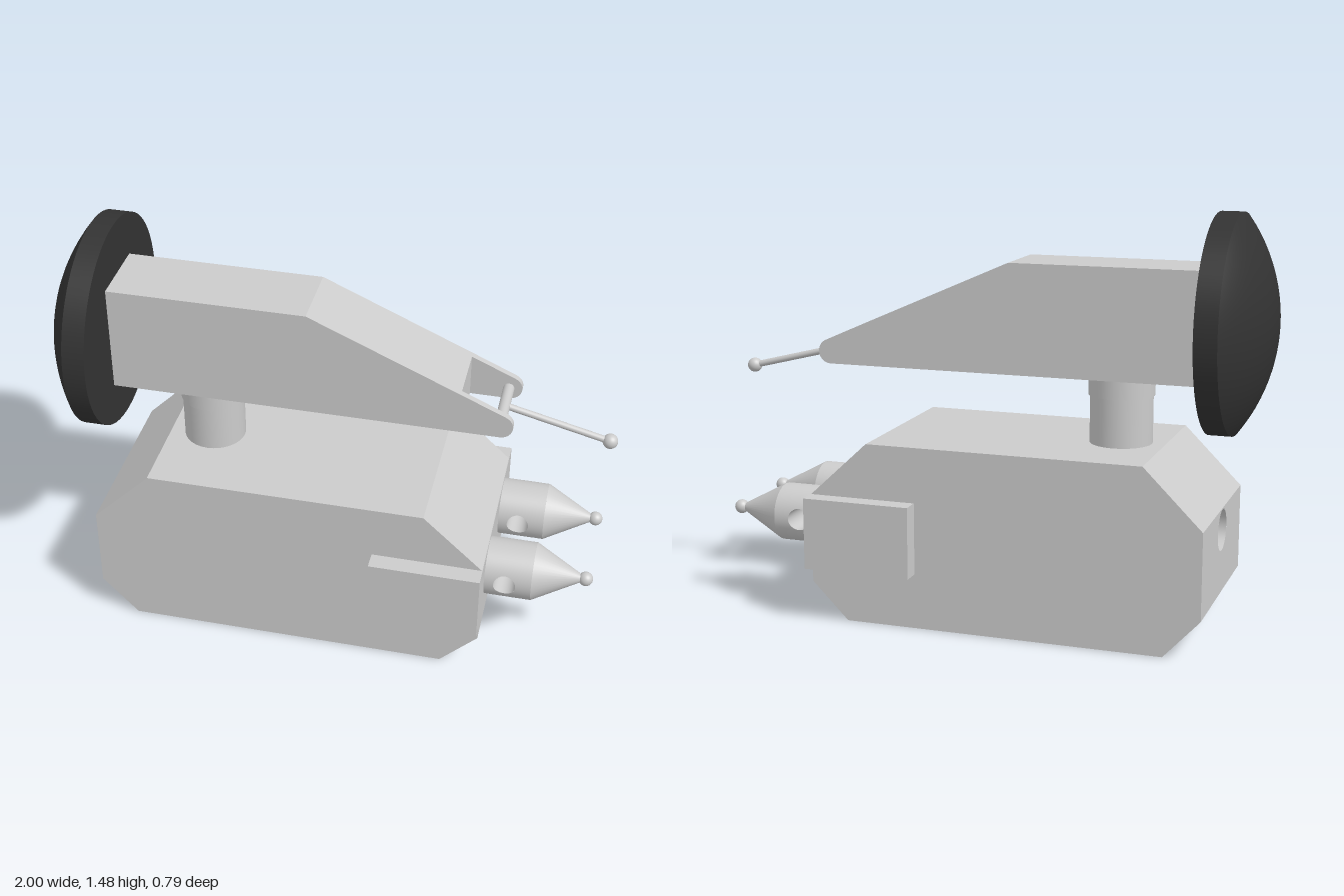
import * as THREE from 'three';
import { mergeGeometries } from 'three/addons/utils/BufferGeometryUtils.js';
import { ParametricGeometry } from 'three/addons/geometries/ParametricGeometry.js';

const V2 = (x, y) => new THREE.Vector2(x, y);

export function createModel() {
  const model = new THREE.Group();
  const grey = new THREE.MeshStandardMaterial({ color: 0xcccccc });
  const greyDouble = new THREE.MeshStandardMaterial({ color: 0xcccccc, side: THREE.DoubleSide });
  const dark = new THREE.MeshStandardMaterial({ color: 0x333333 });

  function add(name, geometry, material = grey, parent = model) {
    const mesh = new THREE.Mesh(geometry, material);
    mesh.name = name;
    parent.add(mesh);
    return mesh;
  }

  // Body: chamfered profile, one panel per edge so two panels can carry holes
  const half = 0.33;
  const profile = [
    [-0.70, 0], [0.46, 0], [0.595, 0.135], [0.595, 0.46],
    [0.38, 0.66], [-0.62, 0.66], [-0.83, 0.45], [-0.83, 0.14],
  ].map(([x, y]) => V2(x, y));
  const socket = { x: -0.83, y: 0.37, r: 0.075, depth: 0.3 };
  const pivotHole = { x: -0.46, y: 0, r: 0.033, depth: 0.2 };
  const holes = { 0: pivotHole, 6: socket };

  function panel(a, b, hole) {
    const e = b.clone().sub(a);
    const len = e.length();
    e.normalize();
    const shape = new THREE.Shape([V2(0, -half), V2(len, -half), V2(len, half), V2(0, half)]);
    if (hole) {
      const d = V2(hole.x, hole.y).distanceTo(a);
      shape.holes.push(new THREE.Path().absarc(d, 0, hole.r, 0, Math.PI * 2, true));
    }
    const frame = new THREE.Matrix4().makeBasis(
      new THREE.Vector3(e.x, e.y, 0), new THREE.Vector3(0, 0, 1), new THREE.Vector3(e.y, -e.x, 0));
    frame.setPosition(a.x, a.y, 0);
    return new THREE.ShapeGeometry(shape, 24).applyMatrix4(frame);
  }
  const bodyParts = profile.map((p, i) => panel(p, profile[(i + 1) % profile.length], holes[i === 6 ? 6 : i]));
  const cheek = new THREE.ShapeGeometry(new THREE.Shape(profile));
  bodyParts.push(cheek.clone().translate(0, 0, half), cheek.clone().rotateY(Math.PI).scale(1, 1, 1));
  // The rear cheek is turned about, so mirror its outline back into place
  bodyParts.pop();
  const mirrored = new THREE.Shape(profile.map((p) => V2(-p.x, p.y)));
  bodyParts.push(new THREE.ShapeGeometry(mirrored).rotateY(Math.PI).translate(0, 0, -half));
  add('body', mergeGeometries(bodyParts), grey);

  // Blind hole linings
  const lining = (h) => new THREE.LatheGeometry([V2(h.r, 0), V2(h.r, h.depth), V2(h.r, h.depth), V2(0, h.depth)], 32);
  add('rearSocket', lining(socket).rotateZ(-Math.PI / 2), greyDouble).position.set(socket.x, socket.y, 0);
  add('bottomHole', lining(pivotHole), greyDouble).position.set(pivotHole.x, pivotHole.y, 0);

  // Block that crosses the body and stands out on both sides
  add('sideBlocks', new THREE.BoxGeometry(0.397, 0.26, 0.79)).position.set(0.3985, 0.33, 0);

  // Neck between body and arm
  add('neck', new THREE.CylinderGeometry(0.112, 0.112, 0.26, 32)).position.set(-0.46, 0.78, 0);
  add('neckCollar', new THREE.CylinderGeometry(0.118, 0.118, 0.065, 32)).position.set(-0.46, 0.865, 0);

  // Arm: solid beam that ends in two thin fork plates
  const slotX = 0.46, armHalf = 0.13, plate = 0.024;
  const slope = Math.atan2(0.698, 0.308);
  const slotTop = 1.295 - (slotX + 0.08) * 0.4413;
  const extrude = (shape, depth, z) =>
    new THREE.ExtrudeGeometry(shape, { depth, bevelEnabled: false, curveSegments: 16 }).translate(0, 0, z);
  const beam = new THREE.Shape([
    V2(-0.80, 0.9), V2(slotX, 0.9), V2(slotX, slotTop), V2(-0.08, 1.295), V2(-0.80, 1.295)]);
  add('arm', extrude(beam, armHalf * 2, -armHalf));
  const fork = new THREE.Shape();
  fork.moveTo(slotX, 0.9);
  fork.lineTo(0.6, 0.9);
  fork.absarc(0.6, 0.945, 0.045, -Math.PI / 2, slope, false);
  fork.lineTo(slotX, slotTop);
  for (const z of [-armHalf, armHalf - plate]) add('forkPlate', extrude(fork, plate, z));

  // Pin and needle held in the fork
  add('forkPin', new THREE.CylinderGeometry(0.02, 0.02, 0.24, 24).rotateX(Math.PI / 2)).position.set(0.597, 0.943, 0);
  const from = new THREE.Vector3(0.6, 0.943, 0), to = new THREE.Vector3(0.973, 0.85, 0);
  add('needle', new THREE.TubeGeometry(new THREE.LineCurve3(from, to), 1, 0.012, 16));
  add('needleBall', new THREE.SphereGeometry(0.027, 24, 16)).position.copy(to);

  // Dark domed disc at the rear of the arm
  const disc = new THREE.Group();
  disc.name = 'disc';
  disc.position.set(-0.79, 1.1, 0);
  disc.rotation.z = Math.PI / 2;
  model.add(disc);
  const R = 0.383, rim = 0.08, rise = 0.13;
  add('discRim', new THREE.CylinderGeometry(R, R, rim, 64), dark, disc).position.y = rim / 2;
  const sphereR = (R * R + rise * rise) / (2 * rise);
  const open = Math.asin(R / sphereR);
  add('discDome', new THREE.SphereGeometry(sphereR, 64, 12, 0, Math.PI * 2, 0, open), dark, disc)
    .position.y = rim + rise - sphereR;

  // Probes: a cross-drilled barrel, a cone and a ball tip, pointing along +x
  const r = 0.105, h = 0.04, halfLen = 0.095;
  function barrelSide(u, v, target) {
    const a = u * Math.PI * 2, c = Math.cos(a), s = Math.sin(a);
    const m = Math.max(Math.abs(c), Math.abs(s));
    const x = THREE.MathUtils.lerp(h * c, halfLen * c / m, v);
    const t = THREE.MathUtils.lerp(Math.asin(h * s / r), Math.PI / 2 * s / m, v);
    target.set(x, r * Math.sin(t), r * Math.cos(t));
  }
  function tunnel(u, v, target) {
    const a = u * Math.PI * 2, y = h * Math.sin(a);
    target.set(h * Math.cos(a), y, Math.sqrt(r * r - y * y) * (2 * v - 1));
  }
  function makeProbe(z) {
    const probe = new THREE.Group();
    probe.name = 'probe';
    probe.position.set(0.67, 0.345, z);
    model.add(probe);
    const side = new ParametricGeometry(barrelSide, 64, 10);
    add('barrelFront', side, greyDouble, probe);
    add('barrelBack', side.clone().rotateX(Math.PI), greyDouble, probe);
    add('crossHole', new ParametricGeometry(tunnel, 32, 1), greyDouble, probe);
    const cone = new THREE.CylinderGeometry(0.014, r, 0.17, 40).rotateZ(-Math.PI / 2);
    add('cone', cone, grey, probe).position.x = halfLen + 0.085;
    add('tipBall', new THREE.SphereGeometry(0.026, 24, 16), grey, probe).position.x = 0.28;
  }
  for (const z of [0.16, -0.185]) makeProbe(z);

  return model;
}
